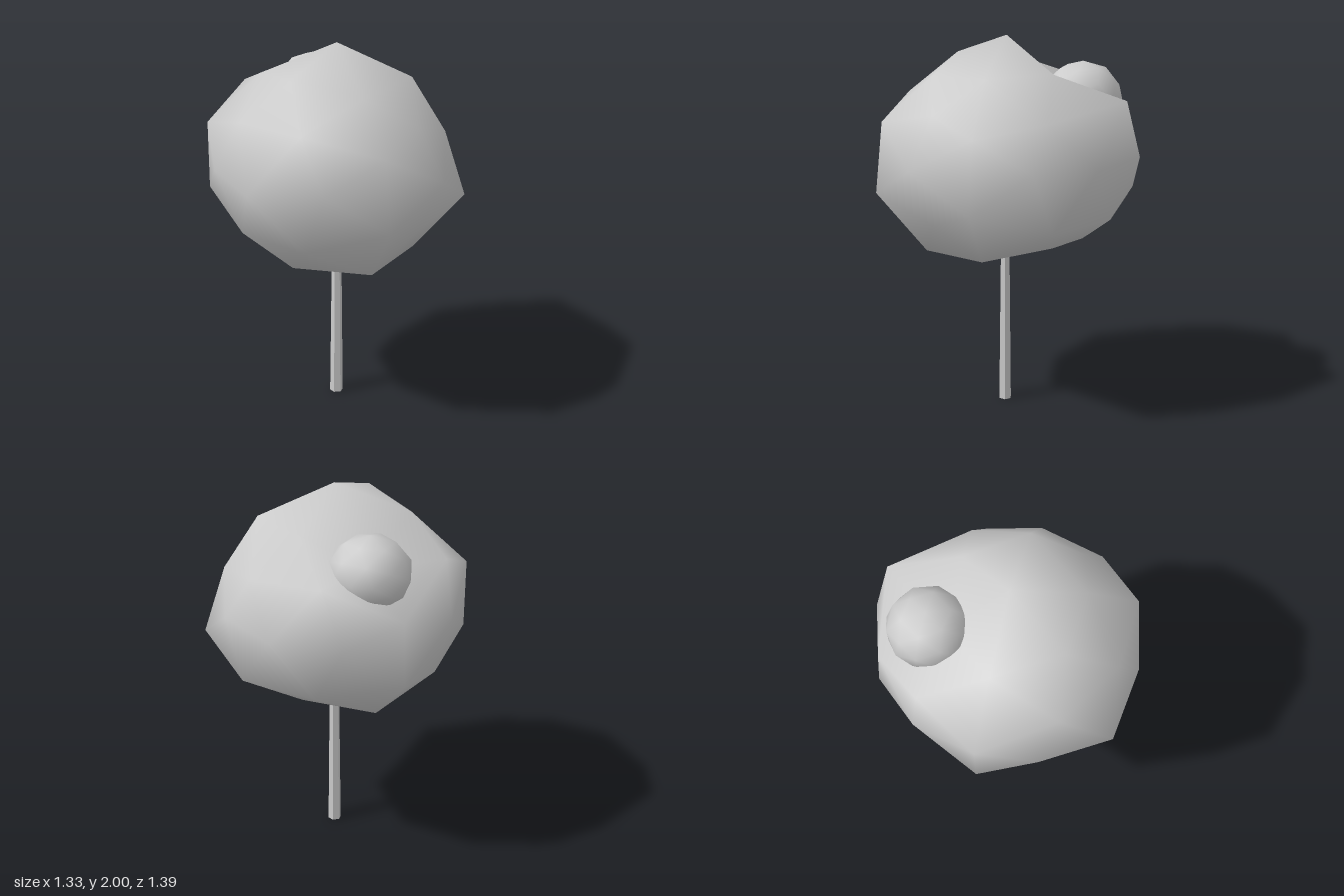
import * as THREE from 'three';
import { mergeVertices } from 'three/addons/utils/BufferGeometryUtils.js';

const CENTRE = new THREE.Vector3(0, 1.4, -0.035);

// Low-poly ball with shared corners, so that its shading is smooth
function ball(rx, ry, rz) {
  let g = new THREE.IcosahedronGeometry(1, 1);
  g.deleteAttribute('normal');
  g.deleteAttribute('uv');
  g = mergeVertices(g, 1e-3);
  g.rotateY(Math.PI / 2);
  g.scale(rx, ry, rz);
  return g;
}

// Irregular leaf crown: each entry moves the nearest corner to a new place
const NUDGES = [
  // tips
  [0, 2, -0.04], [0, 0.81, -0.03], [0.665, 1.38, -0.04], [-0.665, 1.39, -0.04],
  [0, 1.38, 0.695], [0, 1.39, -0.695],
  // upper and lower corners at front and back
  [0, 1.88, 0.34], [0, 0.88, 0.34], [0, 1.83, -0.38], [0, 0.93, -0.38],
  // upper and lower corners at the sides
  [0.51, 1.64, -0.035], [0.51, 1.08, -0.035], [-0.62, 1.71, -0.035], [-0.58, 1.08, -0.035],
  // corners around the middle
  [0.35, 1.4, 0.53], [-0.35, 1.4, 0.53], [0.33, 1.4, -0.57], [-0.37, 1.4, -0.64],
  // ring near the top, with a dent at the back
  [0.32, 1.8, 0.17], [-0.33, 1.835, 0.17], [0.33, 1.83, -0.24], [-0.26, 1.64, -0.21],
  // ring near the bottom
  [0.38, 0.88, 0.17], [-0.36, 0.89, 0.18], [0.36, 0.9, -0.24], [-0.36, 0.89, -0.26],
  // corners beside the side tips
  [0.55, 1.57, 0.31], [0.59, 1.2, 0.32], [-0.58, 1.56, 0.32], [-0.58, 1.2, 0.32],
  [0.49, 1.55, -0.32], [0.58, 1.2, -0.39], [-0.57, 1.5, -0.39], [-0.59, 1.17, -0.41],
  // corners beside the front and back tips
  [0.2, 1.67, 0.51], [-0.2, 1.67, 0.51], [0.21, 1.07, 0.51], [-0.2, 1.08, 0.5],
  [0.2, 1.62, -0.53], [-0.26, 1.7, -0.64], [0.22, 1.09, -0.6], [-0.2, 1.09, -0.6],
];

function crownGeometry() {
  const g = ball(0.66, 0.595, 0.66).translate(CENTRE.x, CENTRE.y, CENTRE.z);
  const p = g.attributes.position;
  const rest = [];
  for (let i = 0; i < p.count; i++) rest.push(new THREE.Vector3().fromBufferAttribute(p, i));
  for (const n of NUDGES) {
    const target = new THREE.Vector3(...n);
    let best = 0;
    rest.forEach((v, i) => {
      if (v.distanceTo(target) < rest[best].distanceTo(target)) best = i;
    });
    p.setXYZ(best, ...n);
  }
  g.computeVertexNormals();
  return g;
}

export function createModel() {
  const model = new THREE.Group();
  model.name = 'tree';
  const leaves = new THREE.MeshStandardMaterial({ color: 0xcccccc });
  const bark = new THREE.MeshStandardMaterial({ color: 0xcccccc, flatShading: true, side: THREE.DoubleSide });

  const crown = new THREE.Mesh(crownGeometry(), leaves);
  crown.name = 'crown';
  model.add(crown);

  // Small leaf ball sitting in the dent
  const bulgeGeometry = ball(0.21, 0.19, 0.21);
  bulgeGeometry.computeVertexNormals();
  const bulge = new THREE.Mesh(bulgeGeometry, leaves);
  bulge.name = 'crownBulge';
  bulge.position.set(-0.325, 1.67, -0.275);
  model.add(bulge);

  // Thin tapering trunk, open at the ends
  const trunk = new THREE.Mesh(new THREE.CylinderGeometry(0.025, 0.036, 0.95, 6, 1, true), bark);
  trunk.name = 'trunk';
  trunk.position.set(0.004, 0.475, CENTRE.z);
  trunk.rotation.y = 0.25;
  model.add(trunk);

  return model;
}
